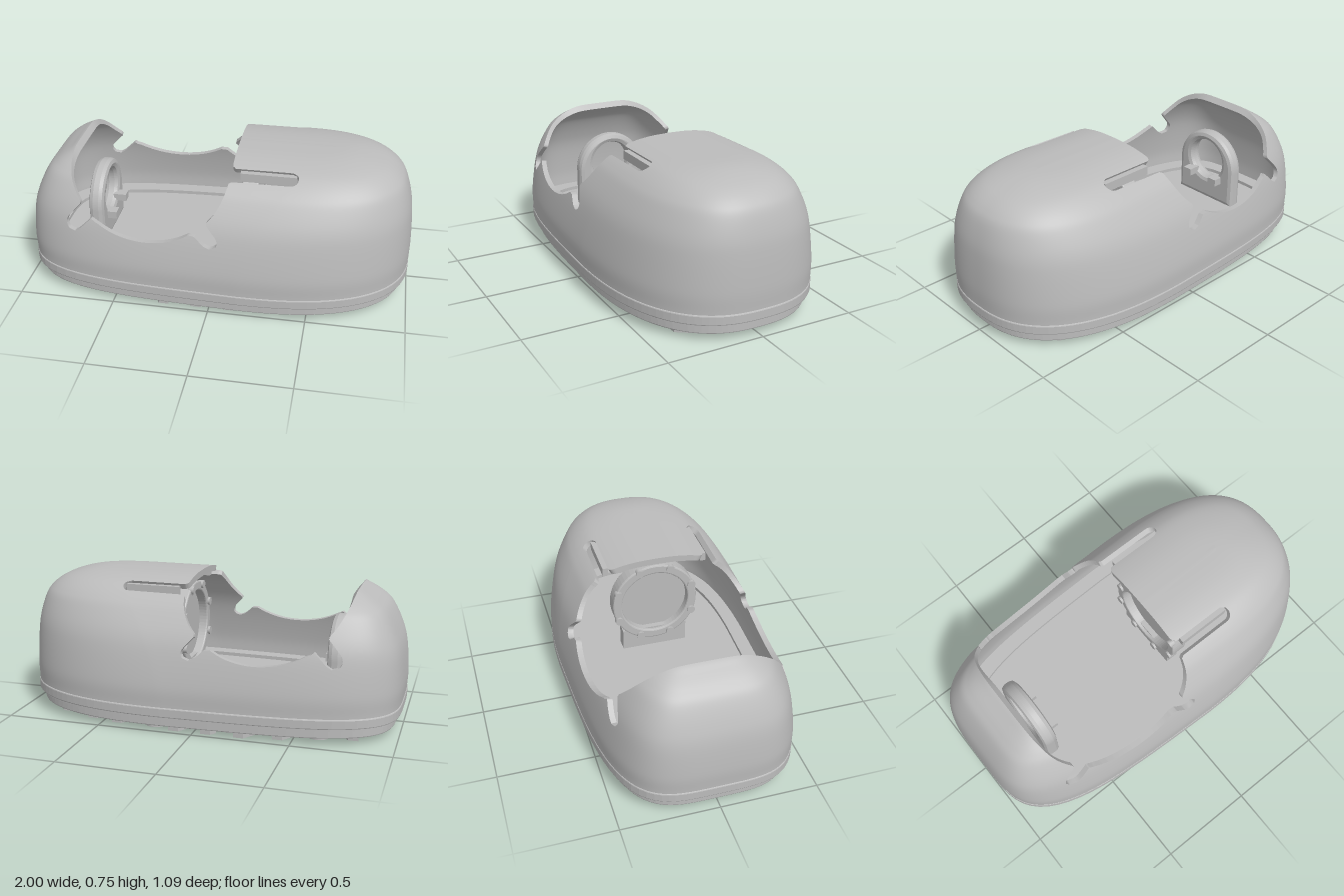
import * as THREE from 'three';
import { mergeVertices, mergeGeometries } from 'three/addons/utils/BufferGeometryUtils.js';

const CX = 0.15;    // x of the widest station at the base
const TAPER = 0.07; // narrowing towards the hood end
const HOOD_N = 4;   // squareness of the hood end at the base

// Egg-shaped outline point at angle a for half width hw and end positions xr, xl;
// rise (0 to 1) moves the widest station back and squares off the hood end
function outlinePoint(a, hw, xr, xl, rise = 0) {
  const c = Math.cos(a), s = Math.sin(a), cx = CX + 0.3 * rise;
  const n = c >= 0 ? 2.5 : HOOD_N + 2 * rise;
  const r = 1 / Math.pow(Math.abs(c) ** n + Math.abs(s) ** n, 1 / n);
  const z = r * s * hw;
  return c >= 0 ? [cx + r * c * (xr - cx), z] : [cx + r * c * (cx - xl), z * (1 + TAPER * r * c)];
}

function outline(inset, count = 120) {
  const pts = [];
  for (let i = 0; i < count; i++) {
    const [x, z] = outlinePoint((i / count) * Math.PI * 2, 0.545 - inset, 1 - inset, -1 + inset);
    pts.push(new THREE.Vector2(x, z));
  }
  return pts;
}

// Half width of the inset outline at x
function halfWidth(x, inset) {
  const right = x > CX;
  const t = right ? (x - CX) / (1 - inset - CX) : (CX - x) / (CX + 1 - inset);
  const n = right ? 2.5 : HOOD_N;
  return t >= 1 ? -1 : (0.545 - inset) * Math.pow(1 - t ** n, 1 / n) * (right ? 1 : 1 - TAPER * t);
}

// Horizontal slab from a plan shape, between two heights
function slab(shape, y0, y1, bevel = 0) {
  const g = new THREE.ExtrudeGeometry(shape, {
    depth: y1 - y0 - 2 * bevel, bevelEnabled: bevel > 0, bevelSize: bevel,
    bevelThickness: bevel, bevelOffset: -bevel, bevelSegments: 2, curveSegments: 24,
  });
  return g.rotateX(-Math.PI / 2).translate(0, y0 + bevel, 0);
}

// Side profile of the opening with its two rounded notches
function openingProfile() {
  const s = new THREE.Shape();
  s.moveTo(-0.78, 0.95);
  s.lineTo(-0.757, 0.715);
  s.quadraticCurveTo(-0.735, 0.61, -0.66, 0.528);
  s.lineTo(-0.73, 0.45);
  s.bezierCurveTo(-0.755, 0.41, -0.71, 0.36, -0.67, 0.395);
  s.lineTo(-0.6, 0.465);
  s.quadraticCurveTo(-0.48, 0.382, -0.32, 0.382);
  s.quadraticCurveTo(-0.18, 0.385, -0.08, 0.455);
  s.lineTo(-0.02, 0.4);
  s.bezierCurveTo(0.03, 0.365, 0.07, 0.41, 0.04, 0.445);
  s.lineTo(-0.015, 0.505);
  s.quadraticCurveTo(0.06, 0.57, 0.085, 0.69);
  s.lineTo(0.09, 0.95);
  return s.getPoints(10);
}

// Positive where shell material stays, negative inside the opening or slots
function cutDistance(poly, x, y, z) {
  let best = 1e9, inside = false;
  for (let i = 0, j = poly.length - 1; i < poly.length; j = i++) {
    const p = poly[i], q = poly[j];
    if ((p.y > y) !== (q.y > y) && x < ((q.x - p.x) * (y - p.y)) / (q.y - p.y) + p.x) inside = !inside;
    const ex = q.x - p.x, ey = q.y - p.y;
    const t = THREE.MathUtils.clamp(((x - p.x) * ex + (y - p.y) * ey) / (ex * ex + ey * ey || 1), 0, 1);
    best = Math.min(best, Math.hypot(x - p.x - t * ex, y - p.y - t * ey));
  }
  let d = inside ? -best : best;
  if (y > 0.6) {
    const dx = x - THREE.MathUtils.clamp(x, 0, 0.385);
    d = Math.min(d, Math.hypot(dx, Math.abs(z) - 0.295) - 0.036);
  }
  return d;
}

// Outer skin, inner skin and cut rim of the domed shell
function shellGeometries() {
  const rows = 90, cols = 240;
  const profile = [ // y, half width, right end, left end
    [0.145, 0.543, 0.997, -0.997], [0.25, 0.54, 1, -1], [0.4, 0.51, 0.993, -0.985],
    [0.5, 0.475, 0.98, -0.955], [0.6, 0.415, 0.95, -0.905], [0.65, 0.37, 0.915, -0.855],
    [0.69, 0.315, 0.86, -0.795], [0.715, 0.26, 0.795, -0.75], [0.733, 0.18, 0.72, -0.68],
    [0.742, 0.1, 0.65, -0.58], [0.745, 0, 0.57, -0.45],
  ];
  const main = new THREE.CatmullRomCurve3(profile.map(p => new THREE.Vector3(p[0], p[1], p[2])), false, 'catmullrom');
  const left = new THREE.CatmullRomCurve3(profile.map(p => new THREE.Vector3(p[3], 0, 0)), false, 'catmullrom');
  const poly = openingProfile();
  const O = [], I = [], D = [];
  for (let j = 0; j <= rows; j++) {
    const m = main.getPoint(j / rows), xl = left.getPoint(j / rows).x;
    const h = (m.x - 0.145) / 0.6;
    for (let i = 0; i < cols; i++) {
      const [x, z] = outlinePoint((i / cols) * Math.PI * 2, m.y, m.z, xl, h * h);
      const end = x > 0 ? x / m.z : x / xl; // the wall thickens along x only near the ends
      O.push(new THREE.Vector3(x, m.x, z));
      I.push(new THREE.Vector3(x * (1 - 0.033 * end ** 8), m.x - 0.035 * h ** 4, z * 0.94));
      D.push(cutDistance(poly, x, m.x, z));
    }
  }
  const outer = [], inner = [], rim = [];
  const put = (list, P, [p, q, t]) => {
    const v = P[p].clone().lerp(P[q], t);
    list.push(v.x, v.y, v.z);
  };
  const addTriangle = tri => {
    const keep = [];
    let leave, enter;
    tri.forEach((p, k) => {
      const q = tri[(k + 1) % 3];
      if (D[p] >= 0) keep.push([p, p, 0]);
      if ((D[p] >= 0) !== (D[q] >= 0)) {
        const m = [p, q, D[p] / (D[p] - D[q])];
        keep.push(m);
        if (D[p] >= 0) leave = m; else enter = m;
      }
    });
    for (let k = 1; k + 1 < keep.length; k++) {
      [keep[0], keep[k], keep[k + 1]].forEach(v => put(outer, O, v));
      [keep[0], keep[k + 1], keep[k]].forEach(v => put(inner, I, v));
    }
    if (leave) {
      put(rim, O, enter); put(rim, O, leave); put(rim, I, leave);
      put(rim, O, enter); put(rim, I, leave); put(rim, I, enter);
    }
  };
  for (let j = 0; j < rows; j++) for (let i = 0; i < cols; i++) {
    const n = (i + 1) % cols;
    const a = j * cols + i, b = j * cols + n, c = b + cols, d = a + cols;
    addTriangle([a, d, c]);
    addTriangle([a, c, b]);
  }
  return [outer, inner, rim].map(list => {
    let g = new THREE.BufferGeometry();
    g.setAttribute('position', new THREE.Float32BufferAttribute(list, 3));
    g = mergeVertices(g, 1e-5);
    g.computeVertexNormals();
    return g;
  });
}

export function createModel() {
  const group = new THREE.Group();
  const grey = new THREE.MeshStandardMaterial({ color: 0xbcbcbc });
  grey.name = 'grey';
  const add = (name, geometry, parent = group) => {
    const mesh = new THREE.Mesh(geometry, grey);
    mesh.name = name;
    parent.add(mesh);
    return mesh;
  };

  // Domed shell with the opening and slots, and a rail under each slot
  const [outer, inner, rim] = shellGeometries();
  add('shellOuter', outer);
  add('shellInner', inner);
  add('shellRim', rim);
  for (const z of [-0.268, 0.268]) add('slotRail', new THREE.BoxGeometry(0.28, 0.045, 0.03)).position.set(0.27, 0.68, z);

  // Band, inner ledge and sole
  add('baseBand', slab(new THREE.Shape(outline(0)), 0.092, 0.143, 0.006));
  add('seam', slab(new THREE.Shape(outline(0.012)), 0.08, 0.146));
  add('sole', slab(new THREE.Shape(outline(0.028)), 0.036, 0.088, 0.006));
  const ledge = new THREE.Shape(outline(0.03));
  ledge.holes.push(new THREE.Path(outline(0.11)));
  add('innerLedge', slab(ledge, 0.14, 0.165));

  // Screw bosses under the sole
  const bosses = [[0.86, 0], [-0.84, 0]];
  for (const [x, z] of [[0.64, 0.345], [0.21, 0.42], [-0.18, 0.39], [-0.62, 0.36]]) bosses.push([x, z], [x, -z]);
  const bossShape = new THREE.Shape().absarc(0, 0, 0.055, 0, Math.PI * 2);
  bossShape.holes.push(new THREE.Path().absarc(0, 0, 0.02, 0, Math.PI * 2));
  add('screwBosses', mergeGeometries(bosses.map(([x, z]) => slab(bossShape, 0.012, 0.04).translate(x, 0, z))));

  // Zigzag tread bars, broken around the bosses and at the edge
  const bars = [];
  const addBar = run => {
    if (run.length < 2) return;
    const side = h => run.map(([x, z]) => new THREE.Vector2(x + h, -z));
    bars.push(slab(new THREE.Shape([...side(0.026), ...side(-0.026).reverse()]), 0, 0.04));
  };
  for (let x0 = -0.98; x0 < 0.86; x0 += 0.17) {
    let run = [];
    for (let k = -15; k <= 15; k++) {
      const z = k * 0.03125, f = Math.abs(((k / 4) % 2 + 2) % 2 - 1);
      const x = x0 + 0.085 * f;
      const clear = bosses.every(b => Math.hypot(b[0] - x, b[1] - z) > 0.08);
      if (clear && Math.abs(z) < Math.min(halfWidth(x - 0.026, 0.06), halfWidth(x + 0.026, 0.06))) run.push([x, z]);
      else { addBar(run); run = []; }
    }
    addBar(run);
  }
  add('treads', mergeGeometries(bars));

  // Upright arch with a round hole under the hood, and its two pegs
  const arch = new THREE.Shape();
  arch.moveTo(-0.2, 0.14).lineTo(0.2, 0.14).lineTo(0.2, 0.35);
  arch.absarc(0, 0.35, 0.2, 0, Math.PI, false);
  arch.holes.push(new THREE.Path().absarc(0, 0.385, 0.115, 0, Math.PI * 2));
  add('hoodArch', new THREE.ExtrudeGeometry(arch, {
    depth: 0.03, bevelSize: 0.025, bevelThickness: 0.025, bevelOffset: -0.025, bevelSegments: 2, curveSegments: 32,
  }).rotateY(Math.PI / 2).translate(-0.675, 0, 0));
  for (const z of [-0.095, 0.095]) add('peg', new THREE.BoxGeometry(0.07, 0.04, 0.055)).position.set(-0.605, 0.29, z);

  // Round mount inside the closed half: ring, backing disc, bosses, foot
  const mount = new THREE.Group();
  mount.name = 'roundMount';
  mount.position.set(0.13, 0.44, 0);
  group.add(mount);
  const ring = new THREE.Shape().absarc(0, 0, 0.235, 0, Math.PI * 2);
  ring.holes.push(new THREE.Path().absarc(0, 0, 0.185, 0, Math.PI * 2));
  add('mountRing', new THREE.ExtrudeGeometry(ring, {
    depth: 0.07, bevelSize: 0.008, bevelThickness: 0.008, bevelOffset: -0.008, bevelSegments: 2, curveSegments: 32,
  }).rotateY(Math.PI / 2), mount);
  add('mountDisc', new THREE.CylinderGeometry(0.19, 0.19, 0.03, 48).rotateZ(Math.PI / 2).translate(0.055, 0, 0), mount);
  for (let i = 0; i < 8; i++) {
    const a = ((i + 0.5) / 8) * Math.PI * 2;
    const boss = add('mountBoss', new THREE.CylinderGeometry(0.022, 0.022, 0.03, 16).rotateZ(Math.PI / 2), mount);
    boss.position.set(-0.005, Math.sin(a) * 0.22, Math.cos(a) * 0.22);
  }
  add('mountFoot', new THREE.BoxGeometry(0.07, 0.13, 0.36)).position.set(0.175, 0.2, 0);

  return group;
}
